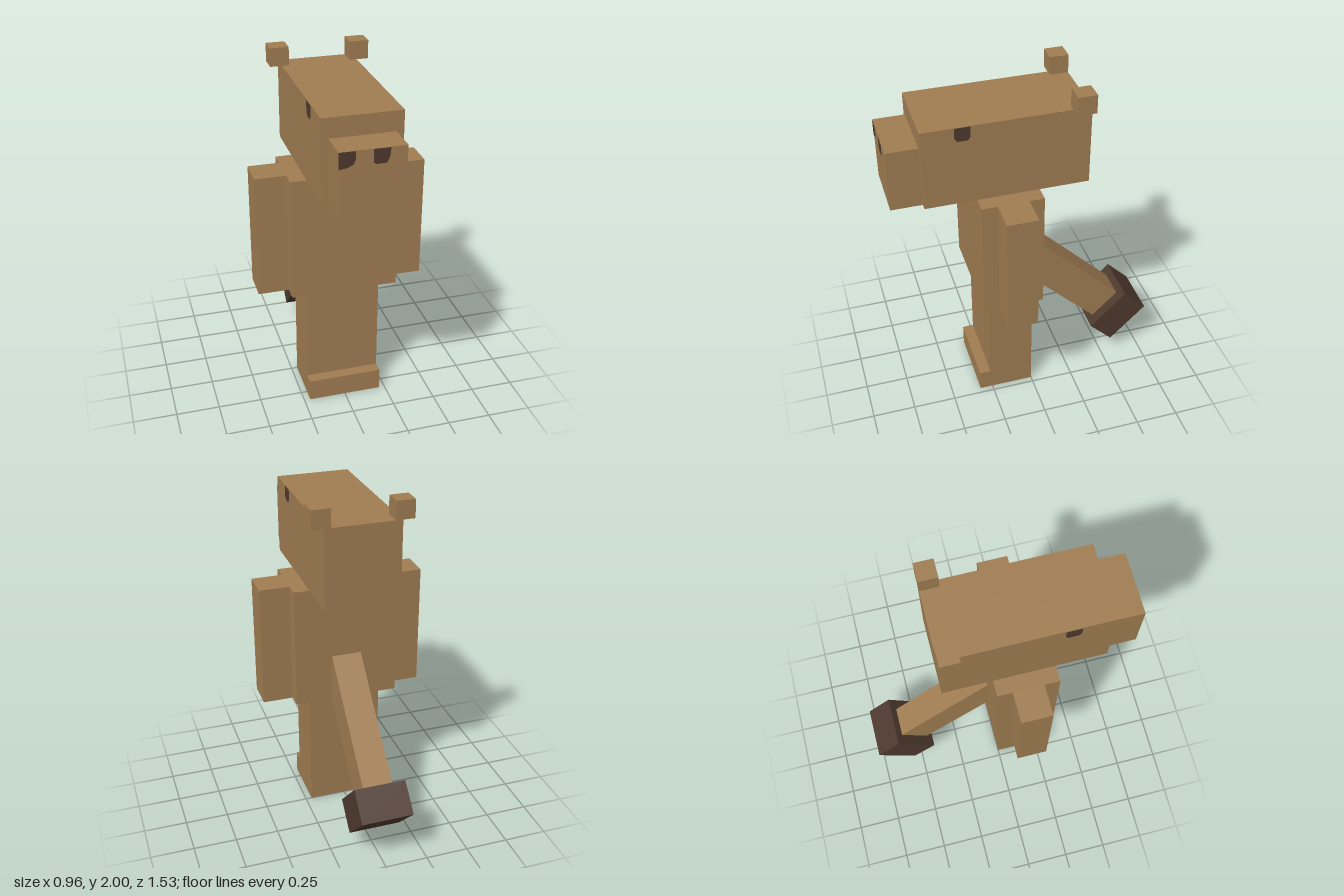
import * as THREE from 'three';

const fur = new THREE.MeshStandardMaterial({ color: 0xa07d52 });
fur.name = 'tan fur';
const dark = new THREE.MeshStandardMaterial({ color: 0x4e392e });
dark.name = 'dark brown';

export function createModel() {
  const model = new THREE.Group();
  model.name = 'blockAnimal';

  const add = (name, geometry, material, parent = model) => {
    const mesh = new THREE.Mesh(geometry, material);
    mesh.name = name;
    parent.add(mesh);
    return mesh;
  };
  // Box given by its lower and upper corners
  const box = (name, [x0, y0, z0], [x1, y1, z1], material = fur, parent = model) => {
    const mesh = add(name, new THREE.BoxGeometry(x1 - x0, y1 - y0, z1 - z0), material, parent);
    mesh.position.set((x0 + x1) / 2, (y0 + y1) / 2, (z0 + z1) / 2);
    return mesh;
  };
  const outline = (points) => new THREE.Shape(points.map(([x, y]) => new THREE.Vector2(x, y)));

  // Head, muzzle and trunk
  box('head', [-0.215, 1.435, -0.32], [0.215, 1.895, 0.592]);
  box('muzzle', [-0.175, 1.435, 0.592], [0.175, 1.785, 0.765]);
  box('body', [-0.305, 0.72, -0.04], [0.305, 1.435, 0.307]);

  // Joined legs with a toe step, as a side profile extruded across x
  const legProfile = outline([[0, 0], [0.327, 0], [0.327, 0.13], [0.262, 0.13], [0.262, 0.72], [0, 0.72]]);
  const legs = add('legs', new THREE.ExtrudeGeometry(legProfile, { depth: 0.43, bevelEnabled: false }), fur);
  legs.rotation.y = -Math.PI / 2;
  legs.position.x = 0.215;

  // Ears, arms and side eyes
  for (const [side, s] of [['left', 1], ['right', -1]]) {
    const ear = box(side + 'Ear', [0.175, 1.895, -0.32], [0.282, 2, -0.215]);
    const arm = box(side + 'Arm', [0.305, 0.72, 0.045], [0.48, 1.435, 0.22]);
    ear.position.x *= s;
    arm.position.x *= s;

    const eyeShape = outline([[0.415, 1.894], [0.415, 1.835], [0.4, 1.815], [0.345, 1.815], [0.33, 1.835], [0.33, 1.894]]
      .map(([z, y]) => [-s * z, y]));
    const eye = add(side + 'Eye', new THREE.ShapeGeometry(eyeShape), dark);
    eye.rotation.y = s * Math.PI / 2;
    eye.position.x = s * 0.218;
  }

  // Nostrils on the muzzle front
  const nostrils = {
    rightNostril: [[-0.175, 1.784], [-0.175, 1.695], [-0.135, 1.7], [-0.1, 1.715], [-0.09, 1.74], [-0.09, 1.784]],
    leftNostril: [[0, 1.784], [0, 1.715], [0.012, 1.705], [0.068, 1.705], [0.082, 1.735], [0.088, 1.784]],
  };
  for (const [name, points] of Object.entries(nostrils)) {
    add(name, new THREE.ShapeGeometry(outline(points)), dark).position.z = 0.768;
  }

  // Tail slanting down and back, built along local y about the tip's centre
  const tail = new THREE.Group();
  tail.name = 'tail';
  tail.position.set(0, 0.305, -0.588);
  tail.rotation.x = Math.PI / 4;
  box('tailShaft', [-0.087, 0.09, -0.106], [0.087, 0.9, 0.106], fur, tail);
  box('tailTip', [-0.15, -0.098, -0.152], [0.15, 0.098, 0.152], dark, tail);
  model.add(tail);

  return model;
}
